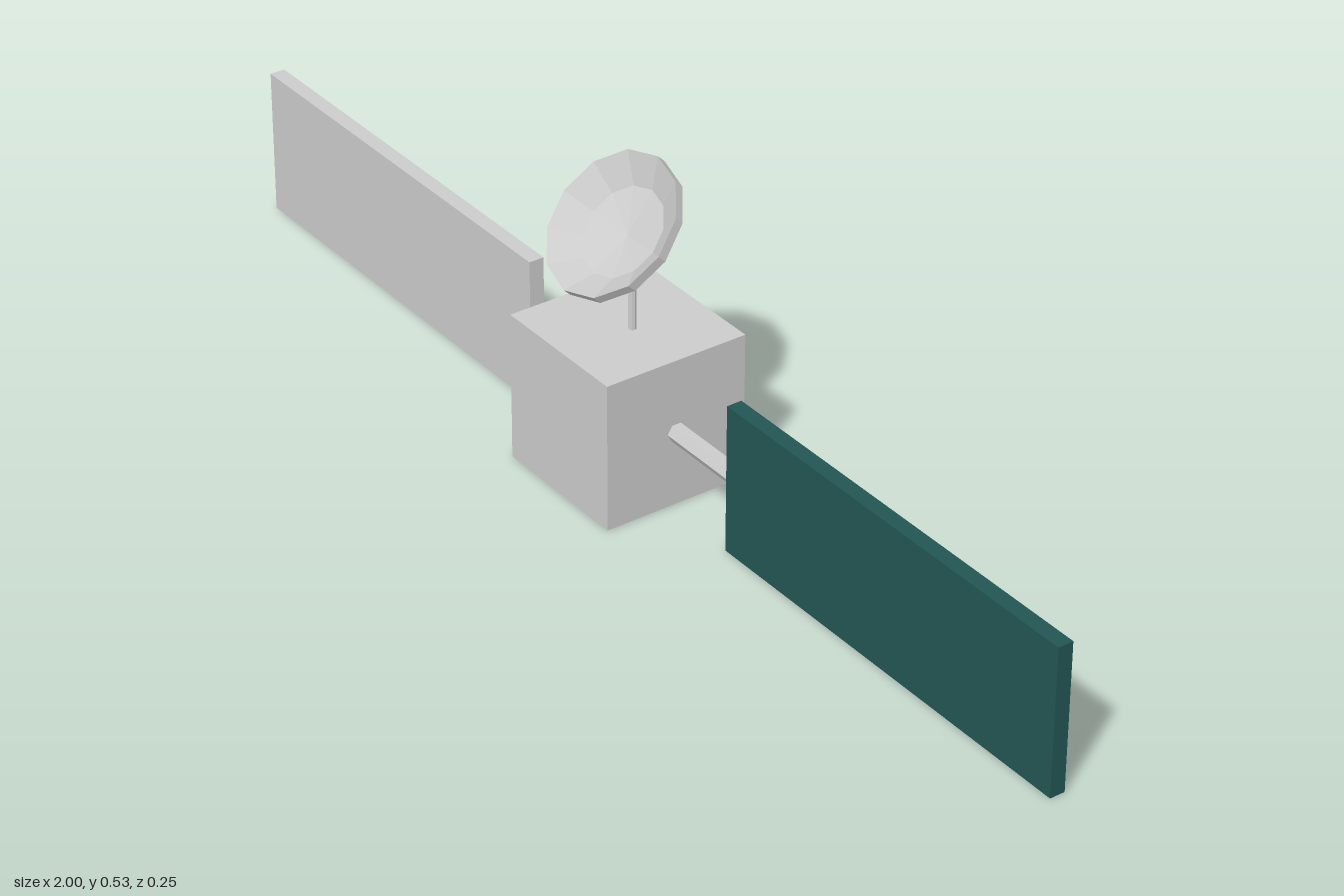
import * as THREE from 'three';

const grey = new THREE.MeshStandardMaterial({ color: 0xcccccc, flatShading: true });
const teal = new THREE.MeshStandardMaterial({ color: 0x225654, flatShading: true });

export function createModel() {
  const model = new THREE.Group();
  model.name = 'satellite';

  const add = (name, geometry, material, x, y, z) => {
    const mesh = new THREE.Mesh(geometry, material);
    mesh.name = name;
    mesh.position.set(x, y, z);
    model.add(mesh);
    return mesh;
  };

  // Cubic body
  add('body', new THREE.BoxGeometry(0.251, 0.252, 0.252), grey, -0.017, 0.126, 0);

  // Hexagonal axle running through the body, joining both panels
  const axle = add('panelAxle', new THREE.CylinderGeometry(0.016, 0.016, 0.512, 6), grey, -0.003, 0.127, 0);
  axle.rotation.z = Math.PI / 2;

  // Solar panels
  for (const [name, side, material] of [['leftPanel', 1, teal], ['rightPanel', -1, grey]]) {
    add(name, new THREE.BoxGeometry(0.747, 0.252, 0.026), material, side * 0.6265, 0.126, 0.002);
  }

  // Antenna mast
  add('mast', new THREE.CylinderGeometry(0.006, 0.006, 0.165, 8), grey, -0.004, 0.3225, 0);

  // Faceted dish: outer shell, rim band, then the hollow inside
  const profile = [
    [0, -0.06], [0.073, -0.048], [0.12, -0.017],
    [0.12, 0], [0.075, -0.031], [0, -0.043],
  ].map(([r, y]) => new THREE.Vector2(r, y));
  const dish = add('dish', new THREE.LatheGeometry(profile, 12), grey, -0.004, 0.446, 0.039);
  dish.rotation.x = Math.PI / 4;

  return model;
}
